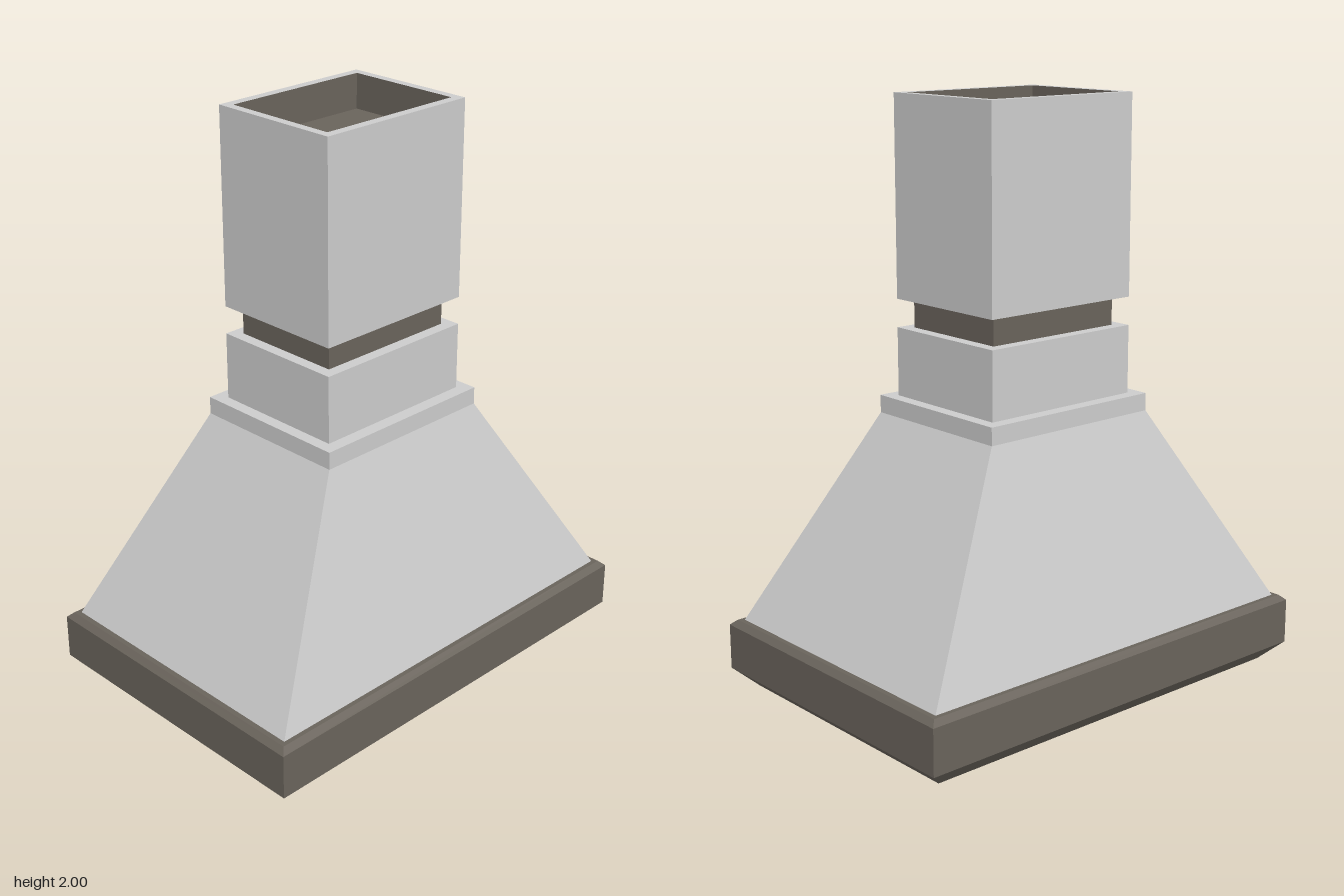
import * as THREE from 'three';

const steel = new THREE.MeshStandardMaterial({ color: 0xcccccc, flatShading: true });
const bronze = new THREE.MeshStandardMaterial({ color: 0x69635b, flatShading: true });
const black = new THREE.MeshStandardMaterial({ color: 0x2b2927, flatShading: true });
const amber = new THREE.MeshStandardMaterial({ color: 0xd9a441 });

// Skins rectangular sections [halfX, halfZ, y]; outer walls run upwards, a zero section closes the end
function rectLoft(sections) {
  const corners = [[1, 1], [1, -1], [-1, -1], [-1, 1]];
  const pos = [];
  for (let i = 0; i < sections.length - 1; i++) {
    for (let k = 0; k < 4; k++) {
      const at = (s, j) => [s[0] * corners[j % 4][0], s[2], s[1] * corners[j % 4][1]];
      const a = sections[i], b = sections[i + 1];
      if (a[0] > 0) pos.push(...at(a, k), ...at(a, k + 1), ...at(b, k + 1));
      if (b[0] > 0) pos.push(...at(a, k), ...at(b, k + 1), ...at(b, k));
    }
  }
  const geo = new THREE.BufferGeometry();
  geo.setAttribute('position', new THREE.Float32BufferAttribute(pos, 3));
  geo.computeVertexNormals();
  return geo;
}

export function createModel() {
  const model = new THREE.Group();
  model.name = 'rangeHood';

  const add = (name, geo, mat, x = 0, y = 0, z = 0) => {
    const mesh = new THREE.Mesh(geo, mat);
    mesh.name = name;
    mesh.position.set(x, y, z);
    model.add(mesh);
    return mesh;
  };
  const box = (name, w, h, d, mat, x, y, z) => add(name, new THREE.BoxGeometry(w, h, d), mat, x, y, z);

  // Base band with chamfered edges and an open underside
  add('baseRim', rectLoft([
    [0.69, 0.45, 0.06], [0.69, 0.45, 0], [0.73, 0.485, 0], [0.8, 0.55, 0.065],
    [0.8, 0.55, 0.222], [0.78, 0.53, 0.24], [0.755, 0.505, 0.24],
  ]), bronze);

  // Sloping canopy with its collar
  add('canopy', rectLoft([
    [0.762, 0.514, 0.24], [0.342, 0.285, 0.94], [0.342, 0.285, 1], [0.29, 0.23, 1],
  ]), steel);

  // Two-stage chimney with a recessed dark neck
  add('lowerDuct', rectLoft([[0.3, 0.24, 1], [0.3, 0.24, 1.232], [0.25, 0.19, 1.232]]), steel);
  add('neck', rectLoft([[0.26, 0.2, 1.232], [0.26, 0.2, 1.328]]), bronze);
  add('upperDuctUnderside', rectLoft([[0.25, 0.19, 1.328], [0.3, 0.24, 1.328]]), bronze);
  add('upperDuct', rectLoft([[0.3, 0.24, 1.328], [0.3, 0.24, 2], [0.27, 0.208, 2]]), steel);
  add('ductLiner', rectLoft([[0.27, 0.208, 2], [0.27, 0.208, 1.88], [0, 0, 1.88]]), bronze);

  // Underside plate
  box('innerPlate', 1.38, 0.02, 0.9, steel, 0, 0.065, 0);

  // Four grease filters, each a frame around a dark screen
  for (let i = 0; i < 4; i++) {
    const x = (i - 1.5) * 0.325;
    box('filterFrame', 0.315, 0.02, 0.72, bronze, x, 0.045, -0.05);
    box('filterScreen', 0.265, 0.01, 0.64, black, x, 0.034, -0.05);
  }

  // Front lamp strip with two lamps
  box('lampStrip', 1.3, 0.02, 0.11, bronze, 0, 0.045, 0.365);
  for (const side of [-1, 1]) {
    add('lamp', new THREE.CylinderGeometry(0.04, 0.04, 0.012, 24), amber, side * 0.32, 0.032, 0.365);
  }

  return model;
}
